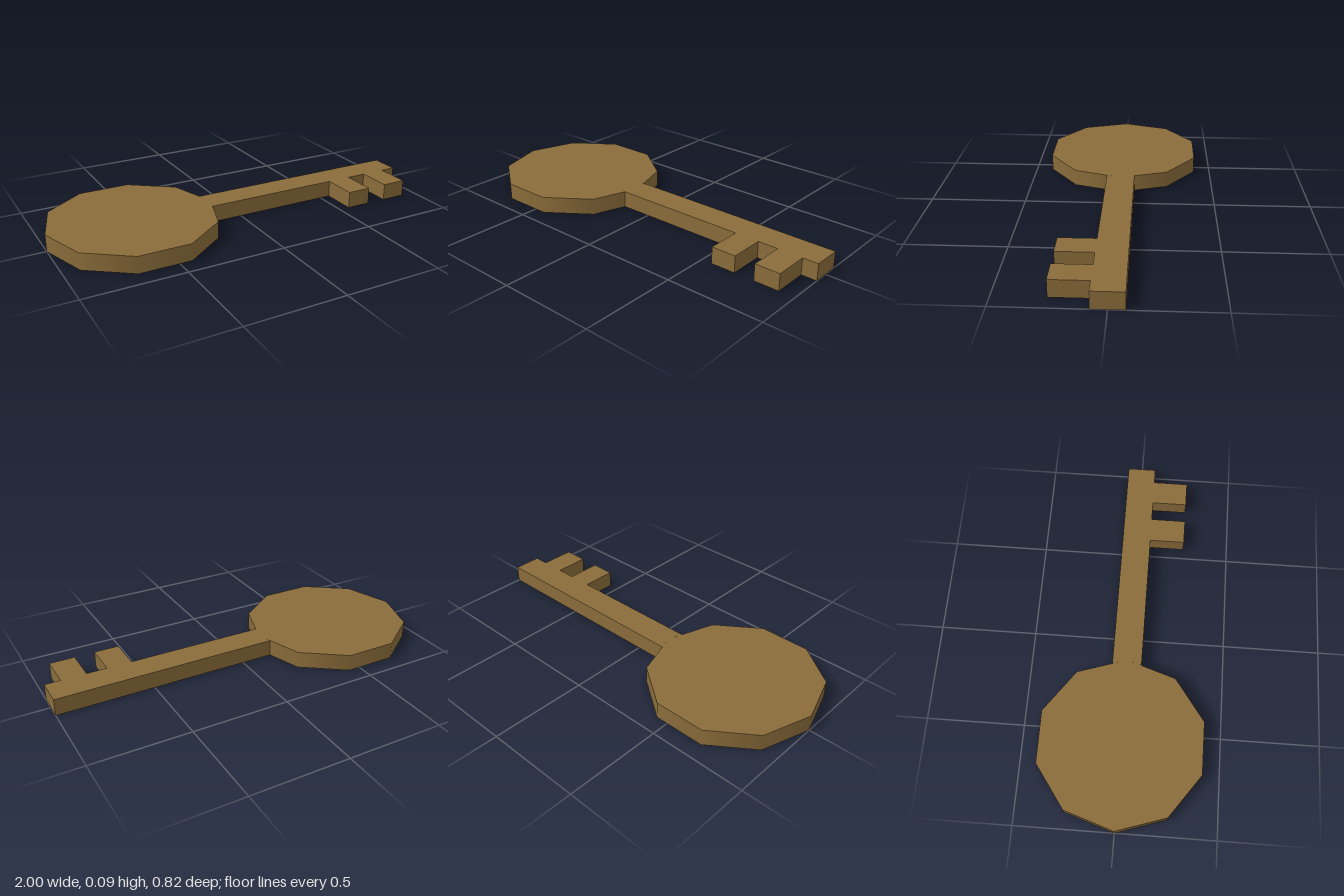
import * as THREE from 'three';

const THICK = 0.087;

export function createModel() {
  const model = new THREE.Group();
  model.name = 'key';
  const brass = new THREE.MeshStandardMaterial({ color: 0x8a6c3a });
  brass.name = 'dark brass';

  // Ten-sided solid bow with smooth rim and a corner pointing along x
  const bow = new THREE.Mesh(
    new THREE.CylinderGeometry(0.43, 0.43, THICK, 10, 1, false, Math.PI / 2), brass);
  bow.name = 'bow';
  bow.position.set(-0.57, THICK / 2, 0);
  model.add(bow);

  // Shaft with two teeth: outline in x and z, fitted to the bow's corner
  const half = 0.075, tip = 0.258;
  const outline = [
    [-0.14, 0], [-0.164, -half], [1, -half], [1, half],
    [0.92, half], [0.92, tip], [0.79, tip], [0.79, half],
    [0.685, half], [0.685, tip], [0.556, tip], [0.556, half],
    [-0.164, half],
  ].map(([x, z]) => new THREE.Vector2(x, z));
  const blade = new THREE.ExtrudeGeometry(new THREE.Shape(outline), {
    depth: THICK, bevelEnabled: false,
  });
  blade.rotateX(Math.PI / 2).translate(0, THICK, 0);
  const shaft = new THREE.Mesh(blade, brass);
  shaft.name = 'shaftAndTeeth';
  model.add(shaft);

  return model;
}
